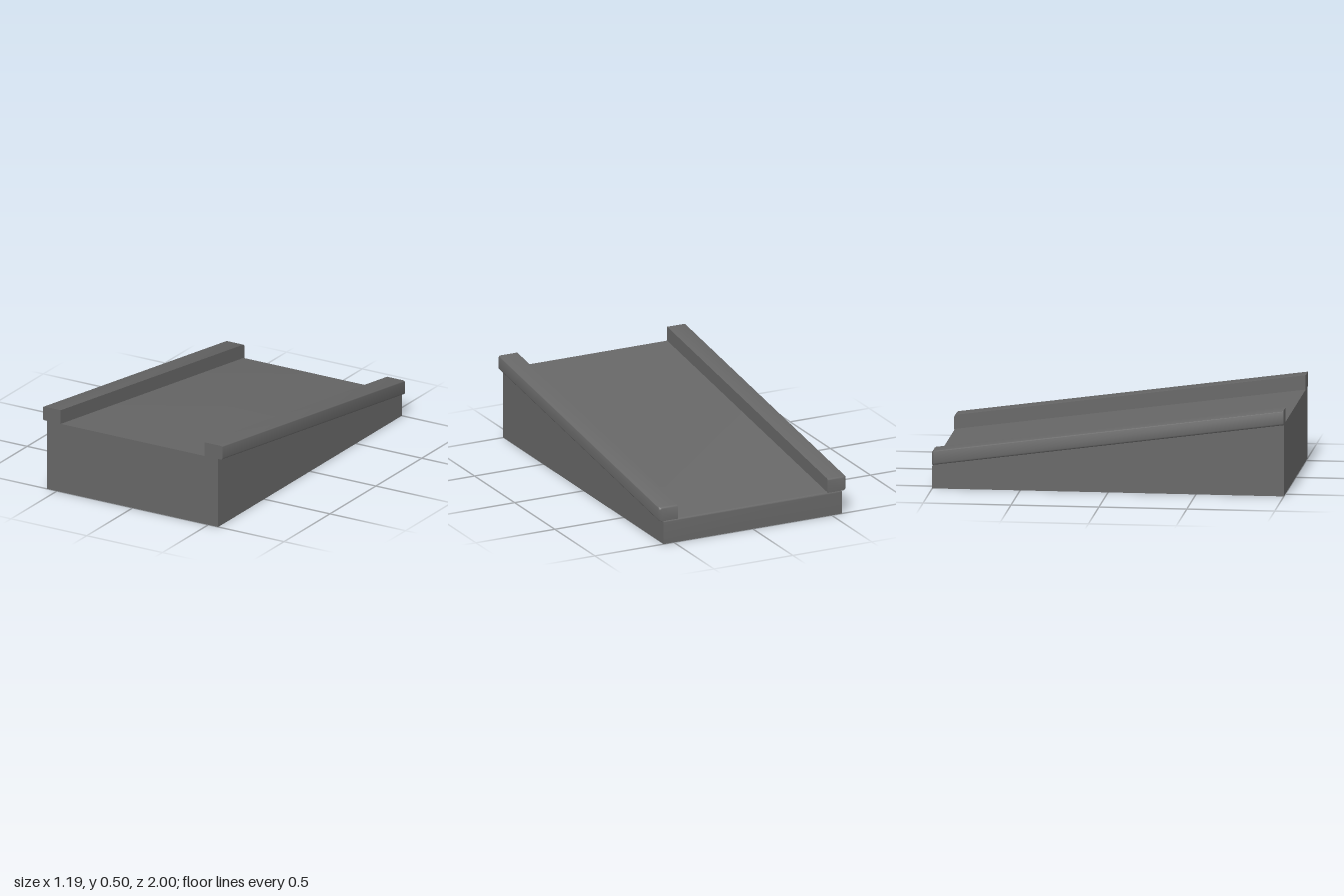
import * as THREE from 'three';
import { toCreasedNormals } from 'three/addons/utils/BufferGeometryUtils.js';

const SLOPE = 0.1375; // fall of the deck per unit of length
const R = 0.012; // edge rounding

// Wedge body: side profile extruded across the width
function makeBody(material) {
  const half = 0.565;
  const profile = new THREE.Shape();
  profile.moveTo(-1, 0);
  profile.lineTo(1, 0);
  profile.lineTo(1, 0.14 - R);
  profile.quadraticCurveTo(1, 0.14, 1 - R, 0.14 + R * SLOPE);
  profile.lineTo(-1, 0.413);
  const geometry = new THREE.ExtrudeGeometry(profile, { depth: 2 * half, bevelEnabled: false, curveSegments: 4 });
  geometry.translate(0, 0, -half);
  geometry.rotateY(Math.PI / 2); // profile +x becomes -z
  const mesh = new THREE.Mesh(toCreasedNormals(geometry, 0.6), material);
  mesh.name = 'rampBody';
  return mesh;
}

// Side rail: section rounded on the outside, sheared along the slope
function makeRail(side, material) {
  const inner = 0.475 * side, outer = 0.593 * side, r = R * side;
  const y0 = 0.413, y1 = 0.496;
  const section = new THREE.Shape();
  section.moveTo(inner, y0);
  section.lineTo(outer - r, y0);
  section.quadraticCurveTo(outer, y0, outer, y0 + R);
  section.lineTo(outer, y1 - R);
  section.quadraticCurveTo(outer, y1, outer - r, y1);
  section.lineTo(inner, y1);
  const geometry = new THREE.ExtrudeGeometry(section, { depth: 3, steps: 3, bevelEnabled: false, curveSegments: 4 });

  // Place the four stations, shrinking the outer faces at the low end to round it
  const stations = [[-1, 0.01], [-0.996, 0.004], [-0.988, 0], [1, 0]];
  const p = geometry.attributes.position;
  for (let i = 0; i < p.count; i++) {
    const [z, inset] = stations[Math.round(p.getZ(i))];
    const x = p.getX(i), y = p.getY(i);
    const u = (x - inner) / (outer - inner), v = (y - y0) / (y1 - y0);
    p.setXYZ(i, x - u * inset * side, y - v * inset - SLOPE * (1 - z), z);
  }
  const mesh = new THREE.Mesh(toCreasedNormals(geometry, 0.6), material);
  mesh.name = side > 0 ? 'leftRail' : 'rightRail';
  return mesh;
}

export function createModel() {
  const grey = new THREE.MeshStandardMaterial({ color: 0x666666 });
  grey.name = 'concrete grey';
  const group = new THREE.Group();
  group.name = 'ramp';
  group.add(makeBody(grey), makeRail(1, grey), makeRail(-1, grey));
  return group;
}
